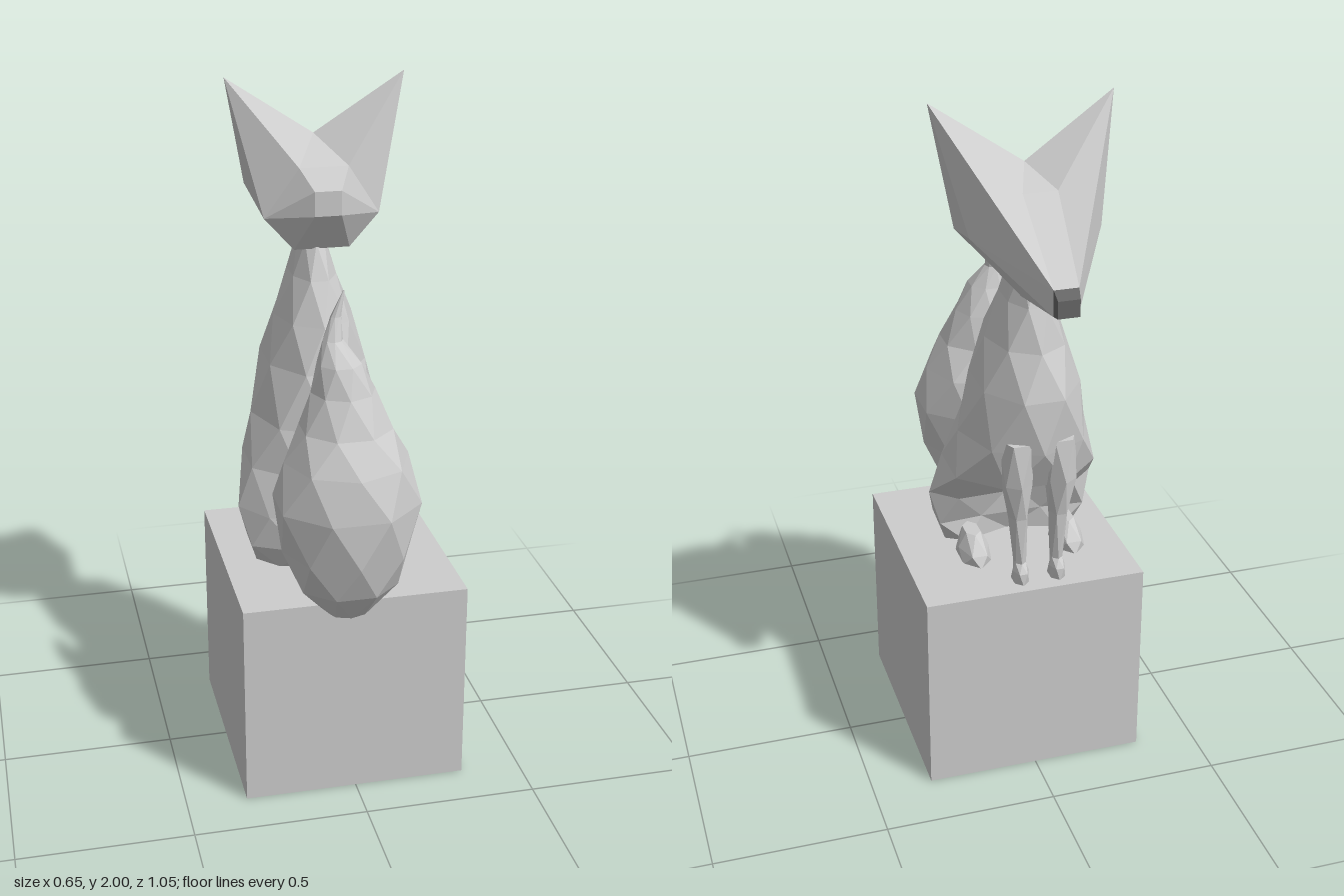
import * as THREE from 'three';

const stone = new THREE.MeshStandardMaterial({ color: 0xcccccc, flatShading: true });
stone.name = 'pale grey';
const dark = new THREE.MeshStandardMaterial({ color: 0x666666, flatShading: true });
dark.name = 'dark grey';

function meshFrom(name, pos, material = stone) {
  const g = new THREE.BufferGeometry();
  g.setAttribute('position', new THREE.Float32BufferAttribute(pos, 3));
  g.computeVertexNormals();
  const m = new THREE.Mesh(g, material);
  m.name = name;
  return m;
}

// Faceted loft, rings from bottom to top: [y, cx, cz, halfX, halfZ, frontNotch]
// Every other ring is turned half a step, giving staggered triangles.
function facetLoft(name, rings, sides) {
  const pts = rings.map(([y, cx, cz, rx, rz, notch = 0], r) => {
    const odd = r % 2, grow = odd ? 1.05 : 1;
    return Array.from({ length: sides }, (_, i) => {
      const a = ((i + odd / 2) / sides) * Math.PI * 2;
      const s = Math.sin(a) * grow, c = Math.cos(a) * grow;
      const push = c < -0.3 ? notch * Math.max(0, 1 - Math.abs(s)) : 0;
      return [cx + s * rx, y, cz + c * rz + push];
    });
  });
  const pos = [];
  const tri = (a, b, c) => pos.push(...a, ...b, ...c);
  for (let r = 0; r < pts.length - 1; r++) {
    const lo = pts[r], hi = pts[r + 1];
    for (let i = 0; i < sides; i++) {
      const j = (i + 1) % sides;
      if (r % 2 === 0) { tri(lo[i], lo[j], hi[i]); tri(lo[j], hi[j], hi[i]); }
      else { tri(lo[i], lo[j], hi[j]); tri(lo[i], hi[j], hi[i]); }
    }
  }
  // end caps
  const lo = pts[0], hi = pts[pts.length - 1];
  for (let i = 1; i < sides - 1; i++) {
    tri(lo[0], lo[i + 1], lo[i]);
    tri(hi[0], hi[i], hi[i + 1]);
  }
  return meshFrom(name, pos);
}

// Mirrored faceted solid; faces are turned outward from a centre point.
// A trailing "-" on a key means the mirrored corner.
function mirroredSolid(name, v, sideFaces, midFaces, centre, cx, material) {
  const pos = [], mid = new THREE.Vector3(...centre);
  const get = (k, flip) => {
    const other = k.endsWith('-') !== flip;
    const p = v[k.replace('-', '')];
    return new THREE.Vector3(other ? -p[0] : p[0], p[1], p[2]);
  };
  const add = (keys, flip) => {
    for (let i = 1; i < keys.length - 1; i++) {
      let [a, b, c] = [keys[0], keys[i], keys[i + 1]].map((k) => get(k, flip));
      const n = b.clone().sub(a).cross(c.clone().sub(a));
      const out = a.clone().add(b).add(c).divideScalar(3).sub(mid);
      if (n.dot(out) < 0) [b, c] = [c, b];
      for (const p of [a, b, c]) pos.push(p.x + cx, p.y, p.z);
    }
  };
  for (const f of sideFaces) { add(f.split(' '), false); add(f.split(' '), true); }
  for (const f of midFaces) add(f.split(' '), false);
  return meshFrom(name, pos, material);
}

function makeHead() {
  const group = new THREE.Group();
  group.name = 'head';
  const v = {
    ear: [0.255, 2.0, -0.125], crown: [0, 1.83, -0.15], brow: [0.048, 1.79, -0.29],
    noseT: [0.034, 1.607, -0.508], noseB: [0.034, 1.535, -0.508],
    cheek: [0.182, 1.67, -0.255], side: [0.165, 1.62, -0.04], jaw: [0.135, 1.605, -0.135],
    chinB: [0.08, 1.525, -0.04], chinF: [0.06, 1.52, -0.32],
    nape: [0.07, 1.765, -0.01], backT: [0.038, 1.71, 0.045], backB: [0.038, 1.64, 0.045],
  };
  group.add(mirroredSolid('skull', v, [
    'ear crown brow', 'ear brow noseT', 'ear crown nape', 'ear nape side',
    'nape backT side', 'backT backB side', 'backB chinB side', 'ear side cheek',
    'ear cheek noseT', 'side jaw cheek', 'side chinB jaw', 'jaw chinB chinF',
    'jaw chinF cheek', 'cheek chinF noseB', 'cheek noseB noseT',
  ], [
    'crown brow brow-', 'brow brow- noseT- noseT', 'nape crown nape-',
    'nape nape- backT- backT', 'backT backT- backB- backB', 'backB backB- chinB- chinB',
    'chinB chinB- chinF- chinF', 'chinF chinF- noseB- noseB',
  ], [0, 1.65, -0.15], -0.01));
  // nose tip
  const n = {
    a: v.noseT, b: v.noseB, c: [0.03, 1.585, -0.532], d: [0.03, 1.537, -0.532],
  };
  group.add(mirroredSolid('nose', n, ['a b d c'],
    ['a a- c- c', 'c c- d- d', 'b b- d- d', 'a a- b- b'], [0, 1.565, -0.518], -0.01, dark));
  return group;
}

export function createModel() {
  const model = new THREE.Group();
  model.name = 'sittingFox';

  // plinth
  const plinth = new THREE.Mesh(new THREE.BoxGeometry(0.65, 0.61, 0.685), stone);
  plinth.name = 'plinth';
  plinth.position.set(0, 0.305, 0.0175);
  model.add(plinth);

  // body: wide haunches narrowing to the neck, hollow between the hind legs
  const cx = -0.025;
  model.add(facetLoft('body', [
    [0.605, cx, 0.035, 0.2, 0.09, 0.1],
    [0.68, cx, 0.045, 0.23, 0.12, 0.14],
    [0.78, cx, 0.025, 0.25, 0.145, 0.12],
    [0.9, cx, -0.05, 0.215, 0.2],
    [1.03, cx, -0.085, 0.19, 0.225],
    [1.19, cx, -0.11, 0.145, 0.2],
    [1.32, cx, -0.105, 0.115, 0.17],
    [1.44, cx, -0.115, 0.065, 0.12],
    [1.54, cx, -0.12, 0.04, 0.08],
  ], 8));

  // legs and paws
  for (const s of [-1, 1]) {
    const side = s > 0 ? 'left' : 'right';
    model.add(facetLoft(side + 'FrontLeg', [
      [0.605, cx + s * 0.055, -0.255, 0.025, 0.04],
      [0.645, cx + s * 0.055, -0.262, 0.022, 0.034],
      [0.67, cx + s * 0.055, -0.252, 0.018, 0.025],
      [0.82, cx + s * 0.06, -0.25, 0.028, 0.037],
      [0.93, cx + s * 0.065, -0.25, 0.045, 0.056],
      [1.06, cx + s * 0.06, -0.235, 0.05, 0.065],
    ], 6));
    model.add(facetLoft(side + 'HindPaw', [
      [0.605, cx + s * 0.145, -0.08, 0.05, 0.09],
      [0.64, cx + s * 0.145, -0.08, 0.043, 0.08],
      [0.685, cx + s * 0.145, -0.06, 0.025, 0.045],
    ], 6));
  }

  // tail: round bulb drawn up into a curling tip
  model.add(facetLoft('tail', [
    [0.58, cx, 0.35, 0.06, 0.05],
    [0.67, cx, 0.34, 0.14, 0.125],
    [0.78, cx, 0.34, 0.185, 0.17],
    [0.92, cx, 0.335, 0.2, 0.185],
    [1.04, cx, 0.325, 0.175, 0.18],
    [1.13, cx, 0.32, 0.125, 0.12],
    [1.23, cx - 0.005, 0.305, 0.09, 0.095],
    [1.31, cx - 0.015, 0.305, 0.058, 0.062],
    [1.37, cx - 0.03, 0.29, 0.028, 0.028],
    [1.43, cx - 0.018, 0.275, 0.014, 0.014],
    [1.5, cx + 0.005, 0.27, 0.002, 0.002],
  ], 8));

  model.add(makeHead());
  return model;
}
